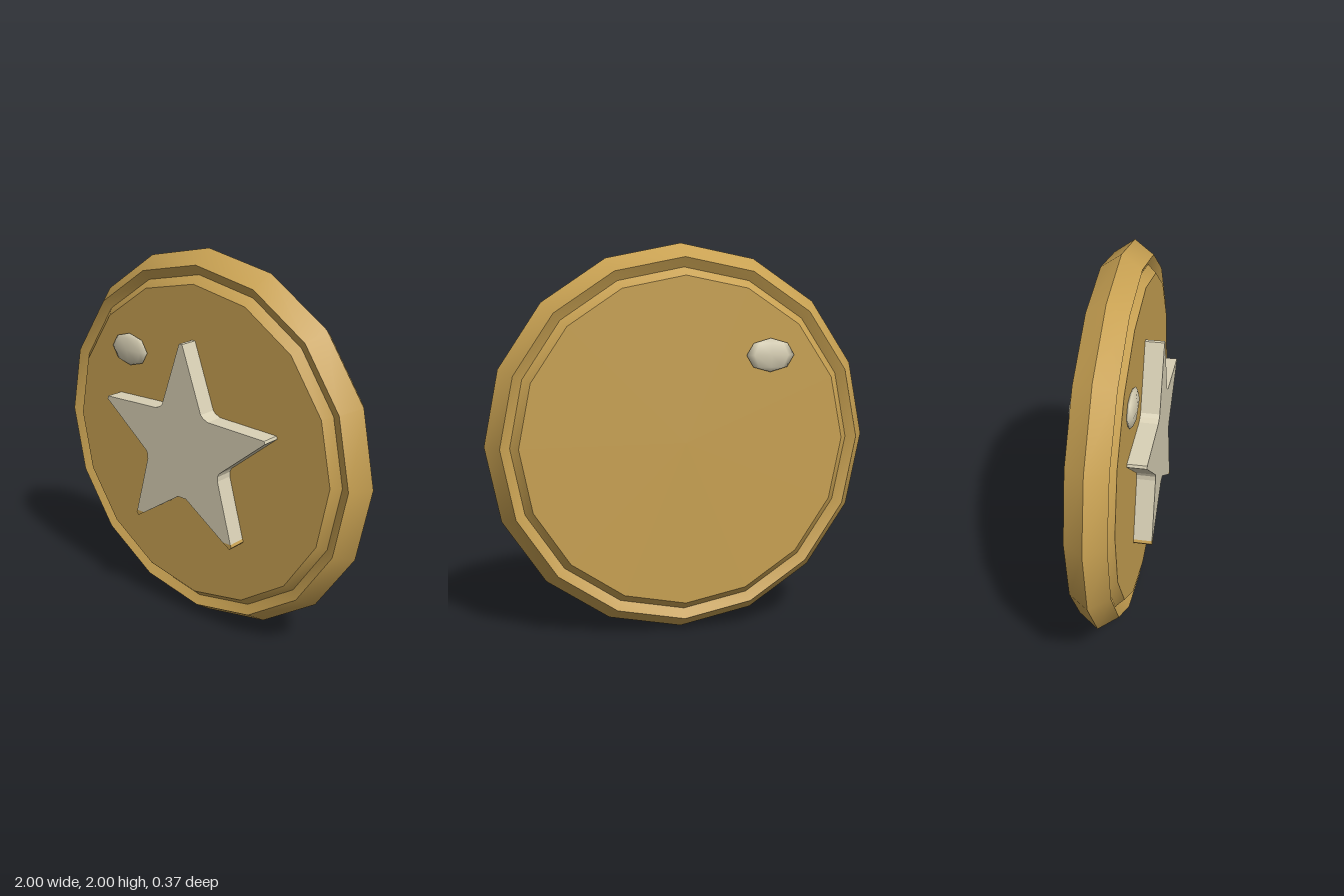
import * as THREE from 'three';
import { toCreasedNormals } from 'three/addons/utils/BufferGeometryUtils.js';

export function createModel() {
  const model = new THREE.Group();
  const gold = new THREE.MeshStandardMaterial({ color: 0xc8a152 });
  gold.name = 'gold';
  const ivory = new THREE.MeshStandardMaterial({ color: 0xd8d0b5 });
  ivory.name = 'ivory';

  function add(name, geometry, material, x = 0, y = 0, z = 0) {
    const mesh = new THREE.Mesh(geometry, material);
    mesh.name = name;
    mesh.position.set(x, y, z);
    model.add(mesh);
    return mesh;
  }

  // Coin disc: bevelled rim, shallow groove and raised face, alike on both sides
  const half = [[0, 0.117], [0.84, 0.117], [0.88, 0.075], [0.93, 0.1]];
  const profile = [
    ...half.map(([r, h]) => new THREE.Vector2(r, -h)),
    new THREE.Vector2(1, 0),
    ...half.slice().reverse().map(([r, h]) => new THREE.Vector2(r, h)),
  ];
  const disc = new THREE.LatheGeometry(profile, 16);
  disc.rotateX(Math.PI / 2);
  add('coinDisc', toCreasedNormals(disc, 0.45), gold, 0, 1, -0.028);

  // Star plate with blunted notches; its two lower tips are gold
  const depth = 0.1;
  function plate(points) {
    const shape = new THREE.Shape(points.map(([x, y]) => new THREE.Vector2(x, y)));
    return new THREE.ExtrudeGeometry(shape, { depth, bevelEnabled: false });
  }
  const side = [
    [0.01, 1.56], [0.13, 1.225], [0.145, 1.21], [0.175, 1.197],
    [0.525, 1.185], [0.53, 1.17], [0.25, 0.945], [0.24, 0.925], [0.24, 0.9],
    [0.327, 0.58], [0.275, 0.58], [0.027, 0.745],
  ];
  const mirror = (points) => points.map(([x, y]) => [-x, y]).reverse();
  add('star', plate([...side, ...mirror(side)]), ivory, 0, 0, 0.085);

  const tip = [[0.327, 0.58], [0.333, 0.565], [0.32, 0.551], [0.275, 0.58]];
  add('leftStarTip', plate(tip), gold, 0, 0, 0.085);
  add('rightStarTip', plate(mirror(tip)), gold, 0, 0, 0.085);

  // Small oval studs on the front and back
  for (const [name, z] of [['frontStud', 0.1], ['backStud', -0.163]]) {
    const stud = new THREE.SphereGeometry(1, 8, 4);
    stud.scale(0.127, 0.086, 0.026);
    add(name, stud, ivory, -0.437, 1.44, z);
  }

  return model;
}
